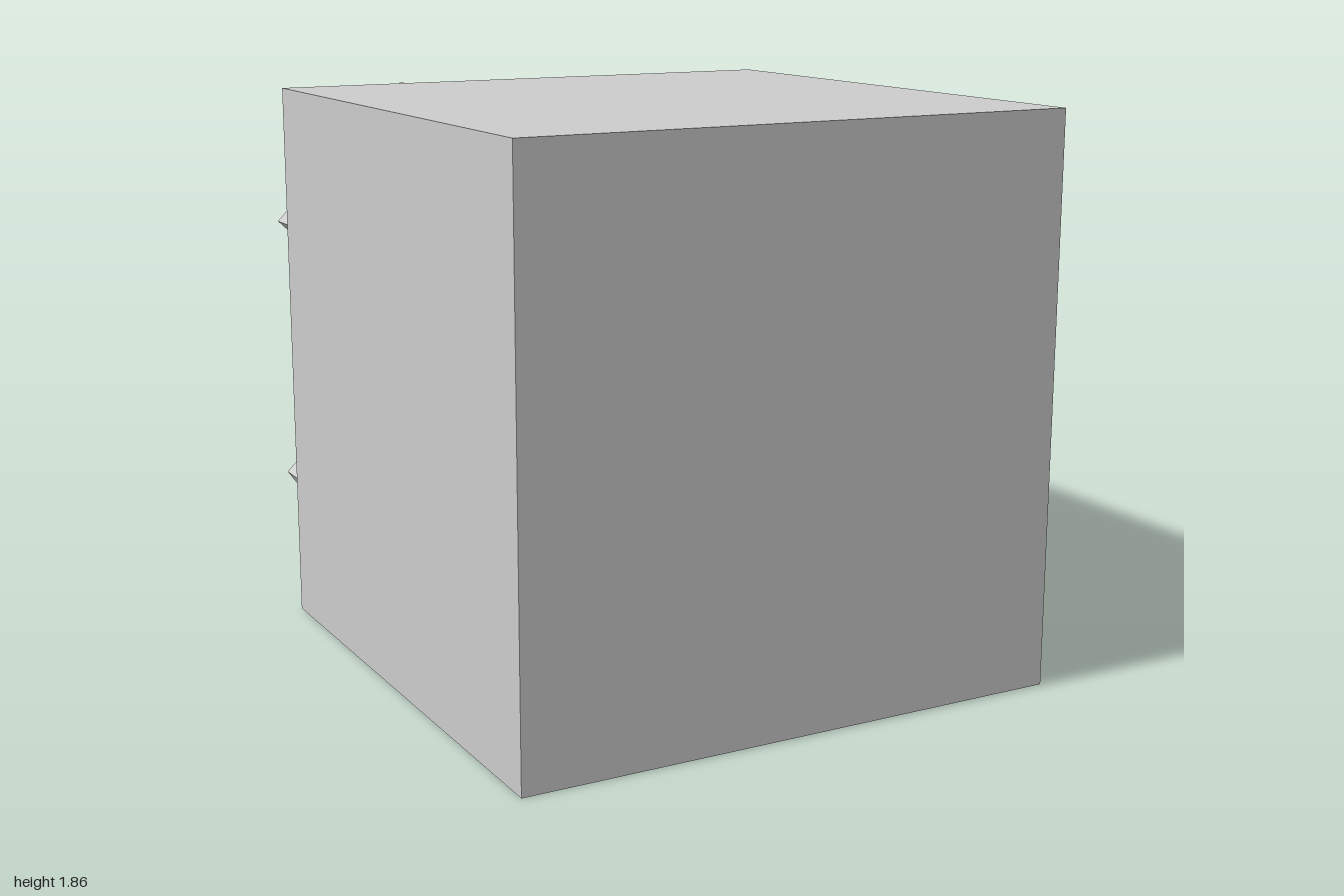
import * as THREE from 'three';

const material = new THREE.MeshStandardMaterial({ color: 0xcccccc, flatShading: true });

// Outline of the diagonal cross, counter-clockwise from the top notch
const crossOutline = [
  [0, 1.38], [-0.45, 1.85], [-0.92, 1.385],        // upper arm, -x side
  [-0.45, 0.93],
  [-0.92, 0.48], [-0.72, 0.2], [-0.45, 0],         // lower arm, rounded end
  [0, 0.48],
  [0.45, 0], [0.72, 0.2], [0.92, 0.48],            // lower arm, rounded end
  [0.45, 0.93],
  [0.92, 1.35], [0.45, 1.81],                      // upper arm, +x side
];

function addMesh(group, name, geometry, x, y, z) {
  const mesh = new THREE.Mesh(geometry, material);
  mesh.name = name;
  mesh.position.set(x, y, z);
  group.add(mesh);
}

export function createModel() {
  const group = new THREE.Group();
  group.name = 'cubeWithCross';

  // Plain cube body
  addMesh(group, 'body', new THREE.BoxGeometry(1.85, 1.855, 1.85), 0, 0.9275, 0.075);

  // Chamfered cross on the back, its inner bevel buried in the body
  const shape = new THREE.Shape(crossOutline.map(([x, y]) => new THREE.Vector2(x, y)));
  const cross = new THREE.ExtrudeGeometry(shape, {
    depth: 0.15,
    bevelThickness: 0.035,
    bevelSize: 0.028,
    bevelOffset: -0.028,
    bevelSegments: 1,
  });
  addMesh(group, 'backCross', cross, 0, 0, -0.965);

  return group;
}
